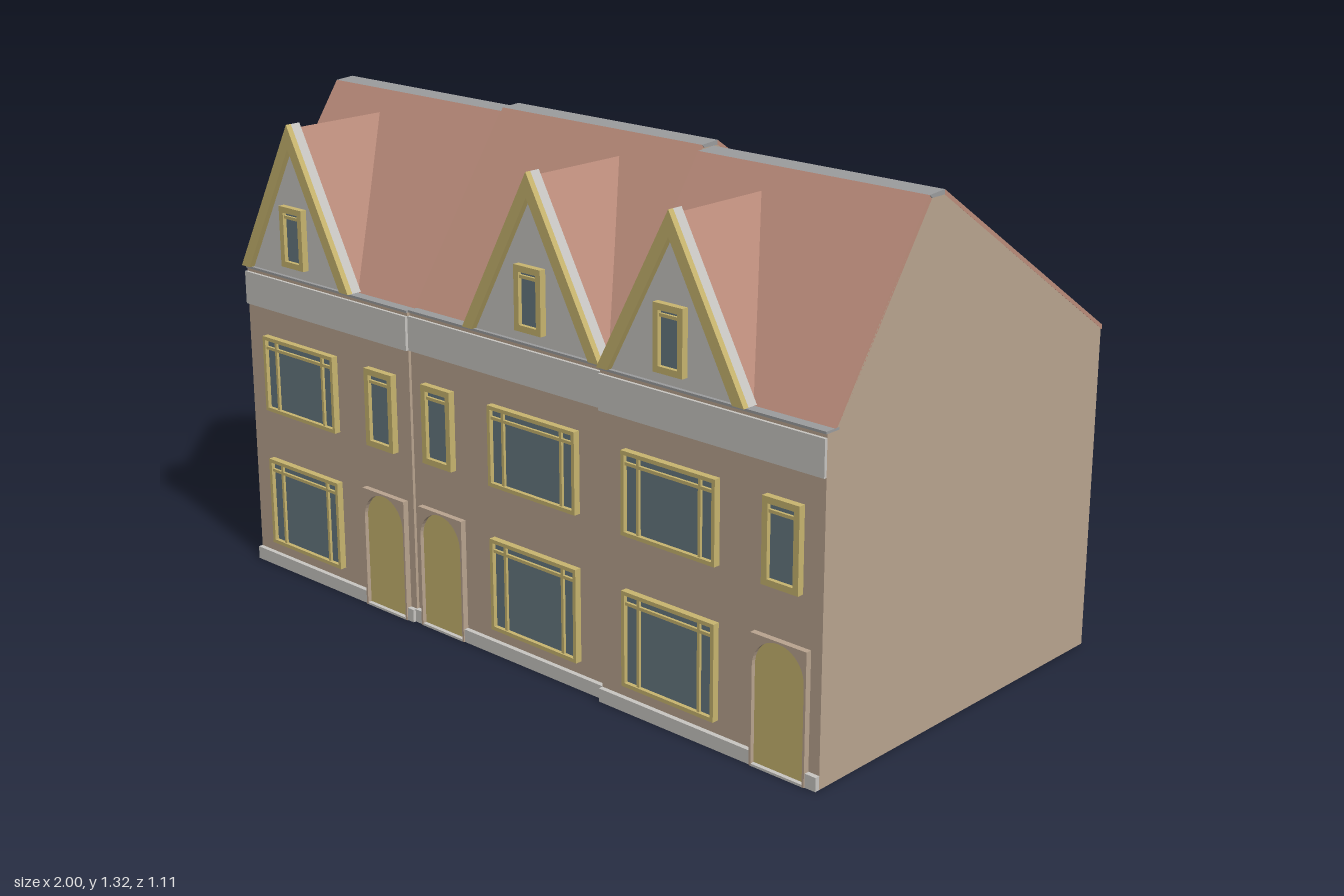
import * as THREE from 'three';

const mat = (name, color, side = THREE.FrontSide) => {
  const m = new THREE.MeshStandardMaterial({ color, side });
  m.name = name;
  return m;
};

export function createModel() {
  const root = new THREE.Group();
  root.name = 'terraceHouses';
  const brick = mat('brick', 0xb9a48f);
  const tile = mat('roofTile', 0xbb8c7b);
  const render = mat('paleRender', 0xc8c6c2);
  const lead = mat('leadGrey', 0x9b9c9d);
  const trim = mat('yellowTrim', 0xc8b56f);
  const glass = mat('glass', 0x667981);

  const add = (parent, name, geo, material) => {
    const m = new THREE.Mesh(geo, material);
    m.name = name;
    parent.add(m);
    return m;
  };
  // box given by its limits
  const box = (parent, name, material, x0, x1, y0, y1, z0, z1) => {
    const g = new THREE.BoxGeometry(x1 - x0, y1 - y0, z1 - z0);
    g.translate((x0 + x1) / 2, (y0 + y1) / 2, (z0 + z1) / 2);
    return add(parent, name, g, material);
  };
  const poly = pts => new THREE.Shape(pts.map(p => new THREE.Vector2(...p)));
  // z-y profile swept along x
  const sweepX = (name, material, pts, x0, x1) => {
    const g = new THREE.ExtrudeGeometry(poly(pts.map(([z, y]) => [-z, y])), { depth: x1 - x0, bevelEnabled: false });
    g.rotateY(Math.PI / 2);
    g.translate(x0, 0, 0);
    return add(root, name, g, material);
  };
  // x-y shape swept along z
  const sweepZ = (parent, name, material, shape, z0, z1) => {
    const g = new THREE.ExtrudeGeometry(shape, { depth: z1 - z0, bevelEnabled: false, curveSegments: 10 });
    g.translate(0, 0, z0);
    return add(parent, name, g, material);
  };

  // three houses: forward shift, ridge height, x range
  const units = [
    { dz: 0, h: 1.307, x0: -1, x1: -0.35 },
    { dz: -0.008, h: 1.315, x0: -0.35, x1: 0.33 },
    { dz: 0.006, h: 1.303, x0: 0.33, x1: 1 },
  ];
  const EAVE = 0.845;
  const slope = 0.667;

  // bodies and roofs, cut where the back wall steps
  const bays = [
    [-1, -0.57, 0, -0.462], [-0.57, -0.35, 0, -0.55], [-0.35, -0.07, 1, -0.55],
    [-0.07, 0.33, 1, -0.448], [0.33, 0.75, 2, -0.442], [0.75, 1, 2, -0.53],
  ];
  for (const [x0, x1, u, zb] of bays) {
    const { dz, h } = units[u];
    const zr = 0.14 + dz, zf = 0.195 + dz, ze = 0.505 + dz, t = 0.012;
    const yb = h - slope * (zr - zb);
    sweepX('walls', brick, [[0.53 + dz, 0], [0.53 + dz, EAVE - 0.006], [ze - 0.004, EAVE - 0.006],
      [zf - 0.002, h - t], [zr, h - t], [zb, yb - t], [zb, 0]], x0, x1);
    sweepX('backRoof', tile, [[zr, h], [zr, h - t], [zb - 0.005, yb - t - 0.003], [zb - 0.005, yb - 0.003]], x0, x1);
    sweepX('frontRoof', tile, [[zf, h - 0.004], [ze, EAVE], [ze - 0.008, EAVE - 0.006], [zf - 0.008, h - 0.014]], x0, x1);
    sweepX('ridgeCap', lead, [[zf, h - 0.004], [zf - 0.01, h - t], [zr, h - t], [zr, h]], x0, x1);
  }

  // cornice band and gutter on each house
  for (const { dz, x0, x1 } of units) {
    const z = 0.53 + dz;
    box(root, 'cornice', render, x0, x1, 0.74, 0.83, z, z + 0.008);
    box(root, 'gutter', lead, x0, x1, EAVE - 0.006, EAVE, 0.49 + dz, z + 0.004);
  }

  const rectFrame = (x0, x1, y0, y1, b) => {
    const s = poly([[x0, y0], [x1, y0], [x1, y1], [x0, y1]]);
    s.holes.push(new THREE.Path([[x0 + b, y0 + b], [x0 + b, y1 - b], [x1 - b, y1 - b], [x1 - b, y0 + b]]
      .map(p => new THREE.Vector2(...p))));
    return s;
  };
  // framed window standing on a wall at z
  const frontWindow = (x0, x1, y0, y1, z, b, transom, mullion) => {
    const g = new THREE.Group();
    g.name = 'frontWindow';
    root.add(g);
    sweepZ(g, 'frame', trim, rectFrame(x0, x1, y0, y1, b), z, z + 0.018);
    box(g, 'pane', glass, x0 + b, x1 - b, y0 + b, y1 - b, z, z + 0.007);
    if (transom) box(g, 'transom', trim, x0 + b, x1 - b, y1 - transom - 0.008, y1 - transom, z, z + 0.014);
    if (mullion) for (const x of [x0 + mullion, x1 - mullion])
      box(g, 'mullion', trim, x - 0.004, x + 0.004, y0 + b, y1 - b, z, z + 0.014);
  };
  const frontZ = x => 0.53 + units.find(u => x < u.x1).dz;
  for (const [x0, x1] of [[-0.925, -0.635], [-0.055, 0.245], [0.41, 0.7]])
    for (const [y0, y1] of [[0.07, 0.315], [0.455, 0.665]])
      frontWindow(x0, x1, y0, y1, frontZ(x0), 0.01, 0.028, 0.05);
  for (const x of [-0.455, -0.245, 0.89])
    frontWindow(x - 0.053, x + 0.053, 0.455, 0.665, frontZ(x), 0.016, 0.03, 0);

  // arched doors with surround and step
  const doorXs = [-0.453, -0.243, 0.888];
  const arch = (x, r, ys, y0, P) => {
    const p = new P();
    p.moveTo(x - r, y0);
    p.lineTo(x + r, y0);
    p.lineTo(x + r, ys);
    p.absarc(x, ys, r, 0, Math.PI, false);
    p.lineTo(x - r, y0);
    return p;
  };
  for (const x of doorXs) {
    const z = frontZ(x), g = new THREE.Group();
    g.name = 'doorway';
    root.add(g);
    const s = poly([[x - 0.081, 0.25], [x - 0.081, 0.33], [x + 0.081, 0.33], [x + 0.081, 0.25], [x + 0.081, 0],
      [x + 0.075, 0], [x + 0.075, 0.25]]);
    s.absarc(x, 0.25, 0.075, 0, Math.PI, false);
    s.lineTo(x - 0.075, 0);
    s.lineTo(x - 0.081, 0);
    sweepZ(g, 'doorSurround', brick, s, z, z + 0.016);
    sweepZ(g, 'door', trim, arch(x, 0.075, 0.25, 0.004, THREE.Shape), z, z + 0.005);
    box(g, 'doorStep', render, x - 0.075, x + 0.075, 0, 0.006, z, z + 0.016);
  }

  // plinth between the doors
  const cuts = [-1, ...doorXs.flatMap(x => [x - 0.081, x + 0.081]), 1];
  for (let i = 0; i < cuts.length; i += 2)
    for (const u of units) {
      const a = Math.max(cuts[i], u.x0), b = Math.min(cuts[i + 1], u.x1);
      if (b > a) box(root, 'plinth', render, a, b, 0, 0.035, 0.53 + u.dz, 0.543 + u.dz);
    }

  // front gables with tiled roofs running into the main slope
  for (const [x, top, w, u] of [[-0.78, 1.26, 0.22, 0], [0.095, 1.268, 0.232, 1], [0.557, 1.257, 0.224, 2]]) {
    const { dz, h } = units[u];
    const g = new THREE.Group();
    g.name = 'dormer';
    root.add(g);
    const z = 0.505 + dz, y0 = EAVE + 0.003, rw = w - 0.008, rt = top - 0.012;
    const zBack = z - 0.31 * (rt - EAVE) / (h - EAVE);
    const geo = new THREE.BufferGeometry();
    const L = [x - rw, y0, z], R = [x + rw, y0, z], A = [x, rt, z], B = [x, rt, zBack - 0.004];
    geo.setAttribute('position', new THREE.Float32BufferAttribute([R, B, A, L, A, B].flat(2), 3));
    geo.computeVertexNormals();
    add(g, 'dormerRoof', geo, tile);
    sweepZ(g, 'gable', render, poly([[x - w, y0], [x + w, y0], [x, top]]), z - 0.002, z + 0.026);
    // sloping bargeboards
    const k = (top - y0) / w, d = 0.034;
    for (const s of [-1, 1]) {
      const pts = [[x, top], [x + s * w, y0], [x + s * (w - d), y0], [x, top - d * k]];
      sweepZ(g, 'bargeboard', trim, poly(pts), z + 0.026, z + 0.042);
    }
    frontWindow(x - 0.045, x + 0.045, 0.877, 1.04, z + 0.026, 0.016, 0.024, 0);
  }

  // back windows: thin yellow casing with a pane on its face
  const backWindows = [
    [0.647, -0.442], [0.437, -0.442], [0.237, -0.448], [0.03, -0.448],
    [-0.203, -0.55], [-0.668, -0.462], [-0.892, -0.462],
  ];
  for (const [x, z] of backWindows)
    for (const [y0, y1] of [[0.075, 0.3], [0.45, 0.67]]) {
      box(root, 'backCasing', trim, x - 0.064, x + 0.064, y0, y1, z - 0.004, z);
      box(root, 'backPane', glass, x - 0.058, x + 0.058, y0 + 0.003, y1 - 0.012, z - 0.006, z - 0.003);
    }

  return root;
}
